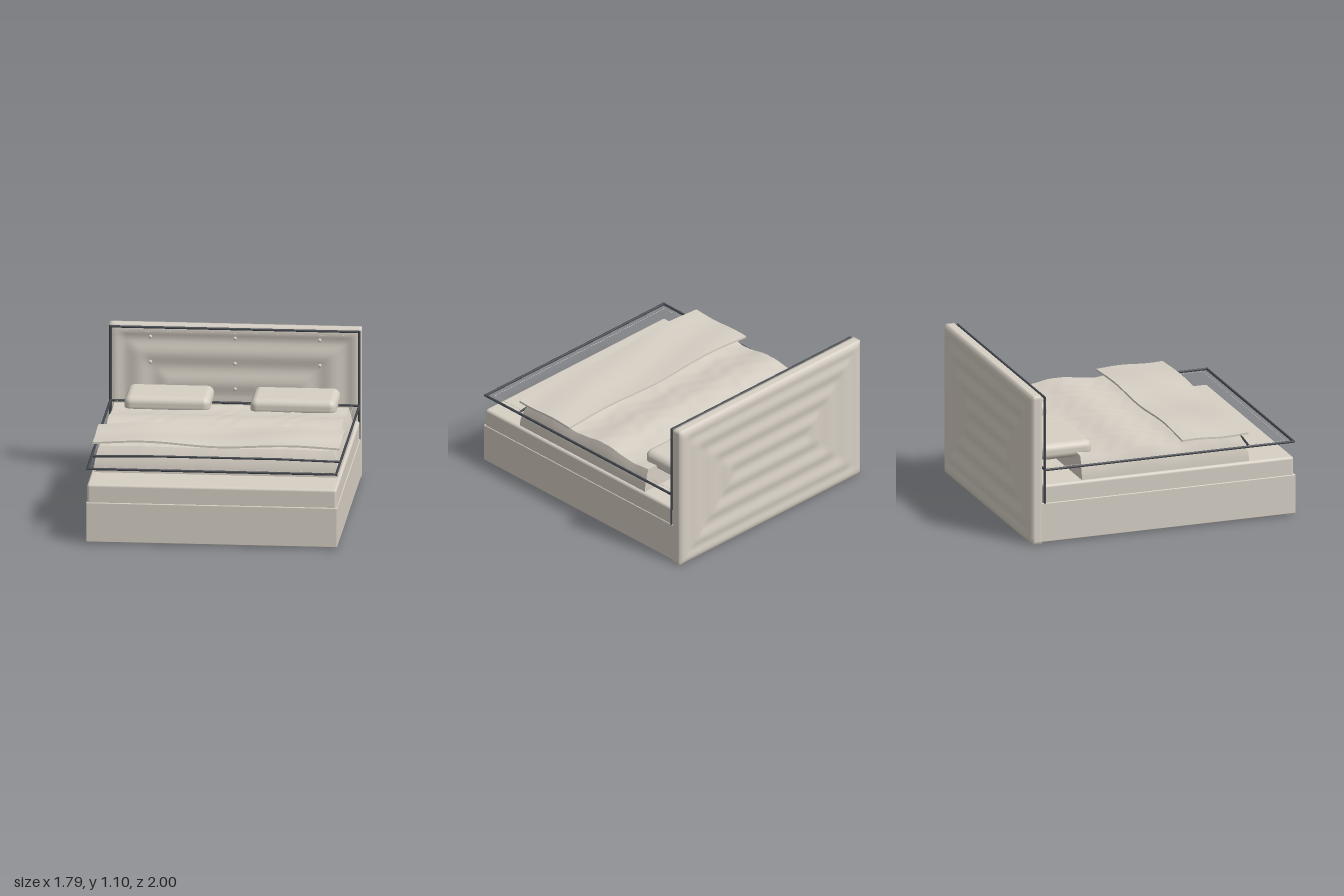
import * as THREE from 'three';
import { mergeVertices, mergeGeometries, toCreasedNormals } from 'three/addons/utils/BufferGeometryUtils.js';
import { RoundedBoxGeometry } from 'three/addons/geometries/RoundedBoxGeometry.js';

const V = (x, y, z) => new THREE.Vector3(x, y, z);

// Subdivided box whose vertices are moved by a rule
function shapedBox(size, segs, rule, crease) {
  let g = new THREE.BoxGeometry(...size, ...segs);
  g.deleteAttribute('uv');
  g.deleteAttribute('normal');
  g = mergeVertices(g);
  const p = g.attributes.position, v = V(0, 0, 0);
  for (let i = 0; i < p.count; i++) {
    rule(v.fromBufferAttribute(p, i));
    p.setXYZ(i, v.x, v.y, v.z);
  }
  g.computeVertexNormals();
  return crease ? toCreasedNormals(g, crease) : g;
}

// Straight-sided tube through a list of points
function piping(points, closed, r) {
  const path = new THREE.CurvePath();
  const n = points.length;
  for (let i = 0; i < (closed ? n : n - 1); i++) path.add(new THREE.LineCurve3(points[i], points[(i + 1) % n]));
  return mergeGeometries(path.curves.map((c) => {
    const d = c.v2.clone().sub(c.v1).normalize().multiplyScalar(r * 0.9);
    return new THREE.TubeGeometry(new THREE.LineCurve3(c.v1.clone().sub(d), c.v2.clone().add(d)), 1, r, 8);
  }));
}

// Row of small stitches along a list of points
function stitches(points) {
  const parts = [];
  for (let i = 0; i < points.length - 1; i++) {
    const a = points[i], b = points[i + 1], n = Math.round(a.distanceTo(b) / 0.022);
    const dir = b.clone().sub(a).normalize();
    const q = new THREE.Quaternion().setFromUnitVectors(V(1, 0, 0), dir);
    for (let k = 0; k < n; k++) {
      const c = a.clone().lerp(b, (k + 0.5) / n);
      parts.push(new THREE.BoxGeometry(0.012, 0.003, 0.003).applyQuaternion(q).translate(c.x, c.y, c.z));
    }
  }
  return mergeGeometries(parts);
}

export function createModel() {
  const group = new THREE.Group();
  const fabric = new THREE.MeshStandardMaterial({ color: 0xd6cfc4 });
  const trim = new THREE.MeshStandardMaterial({ color: 0x43484e });
  fabric.name = 'beige fabric';
  trim.name = 'dark piping';
  const add = (name, geo, mat, x = 0, y = 0, z = 0) => {
    const m = new THREE.Mesh(geo, mat);
    m.name = name;
    m.position.set(x, y, z);
    group.add(m);
    return m;
  };

  // Base and mattress
  add('base', new RoundedBoxGeometry(1.78, 0.288, 1.92, 2, 0.006), fabric, 0, 0.164, 0.04);
  add('mattress', new RoundedBoxGeometry(1.77, 0.15, 1.89, 4, 0.02), fabric, 0, 0.365, 0.045);

  // Padded headboard with concentric ripples
  const W = 0.893, H = 0.55, D = 0.053;
  add('headboard', shapedBox([2 * W, 2 * H, 2 * D], [72, 44, 4], (v) => {
    const d = Math.min(W - Math.abs(v.x), H - Math.abs(v.y));
    const bevel = 0.02 * Math.pow(1 - Math.min(d / 0.06, 1), 2);
    const fade = Math.min(d / 0.1, 1);
    const side = v.z / D;
    const wave = side < 0
      ? fade * (0.007 - 0.006 * Math.cos(d * 40))
      : fade * (0.012 - 0.008 * Math.cos(d * 30));
    v.z -= side * (bevel + wave);
  }), fabric, 0, 0.557, -0.946);

  // Button tufts
  for (const y of [1.02, 0.835, 0.65, 0.465])
    for (const x of [-0.6, 0, 0.6])
      add('headboardButton', new THREE.SphereGeometry(0.013, 12, 8), fabric, x, y, -0.892);

  // Piping and stitching on the headboard
  add('headboardPiping', piping([V(-0.882, 0.31, -0.886), V(-0.882, 1.09, -0.886),
    V(0.882, 1.09, -0.886), V(0.882, 0.31, -0.886)], false, 0.009), trim);
  add('headboardStitching', stitches([V(-0.865, 0.44, -0.887), V(-0.865, 1.058, -0.887),
    V(0.865, 1.058, -0.887), V(0.865, 0.44, -0.887)]), fabric);

  // Piping and stitching loop round the bed
  add('bedPiping', piping([V(-0.882, 0.552, -0.882), V(-0.882, 0.552, 0.988),
    V(0.882, 0.552, 0.988), V(0.882, 0.552, -0.882)], true, 0.009), trim);
  add('bedStitching', stitches([V(-0.84, 0.552, -0.875), V(-0.84, 0.552, 0.94),
    V(0.84, 0.552, 0.94), V(0.84, 0.552, -0.875), V(-0.84, 0.552, -0.875)]), fabric);

  // Duvet: tapered sides, soft folds and fine wrinkles on top
  add('duvet', shapedBox([1.73, 0.19, 1.26], [70, 6, 56], (v) => {
    const t = (v.y + 0.095) / 0.19;
    const x = v.x, z = v.z + 0.03;
    const fold = z > 0.4 ? 0.015 : 0.015 * Math.cos((z + 0.15) * 11.42);
    const drop = 0.012 * Math.max(0, (-z - 0.4) / 0.2) + 0.012 * Math.max(0, (z - 0.56) / 0.1);
    const wrinkle = 0.0025 * Math.sin(31 * z + 9 * x + 2 * Math.sin(13 * x)) * Math.sin(17 * x - 12 * z);
    v.y = 0.435 + t * (0.183 + fold - drop + wrinkle);
    v.x *= 1 - 0.04 * t * t;
    v.z = z + (v.z > 0 ? -0.055 * t * t * Math.min(1, v.z / 0.63) : 0);
  }, 0.8), fabric);

  // Hem piping hanging along the foot of the duvet
  add('duvetHem', piping([V(-0.865, 0.555, 0.655), V(-0.45, 0.573, 0.688),
    V(0.45, 0.573, 0.688), V(0.865, 0.555, 0.655)], false, 0.008), trim);

  // Wavy folded throw across the foot
  add('throw', shapedBox([1.75, 0.014, 0.5], [60, 1, 20], (v) => {
    v.y += 0.653 - 0.011 * Math.cos(v.x * 6.2) + 0.005 * Math.sin(v.z * 14 + v.x * 3);
  }, 0.8), fabric, 0, 0, 0.402);

  // Pillows
  for (const s of [-1, 1])
    add(s > 0 ? 'leftPillow' : 'rightPillow', new RoundedBoxGeometry(0.61, 0.12, 0.395, 6, 0.05),
      fabric, s * 0.447, 0.628, -0.672);

  return group;
}
